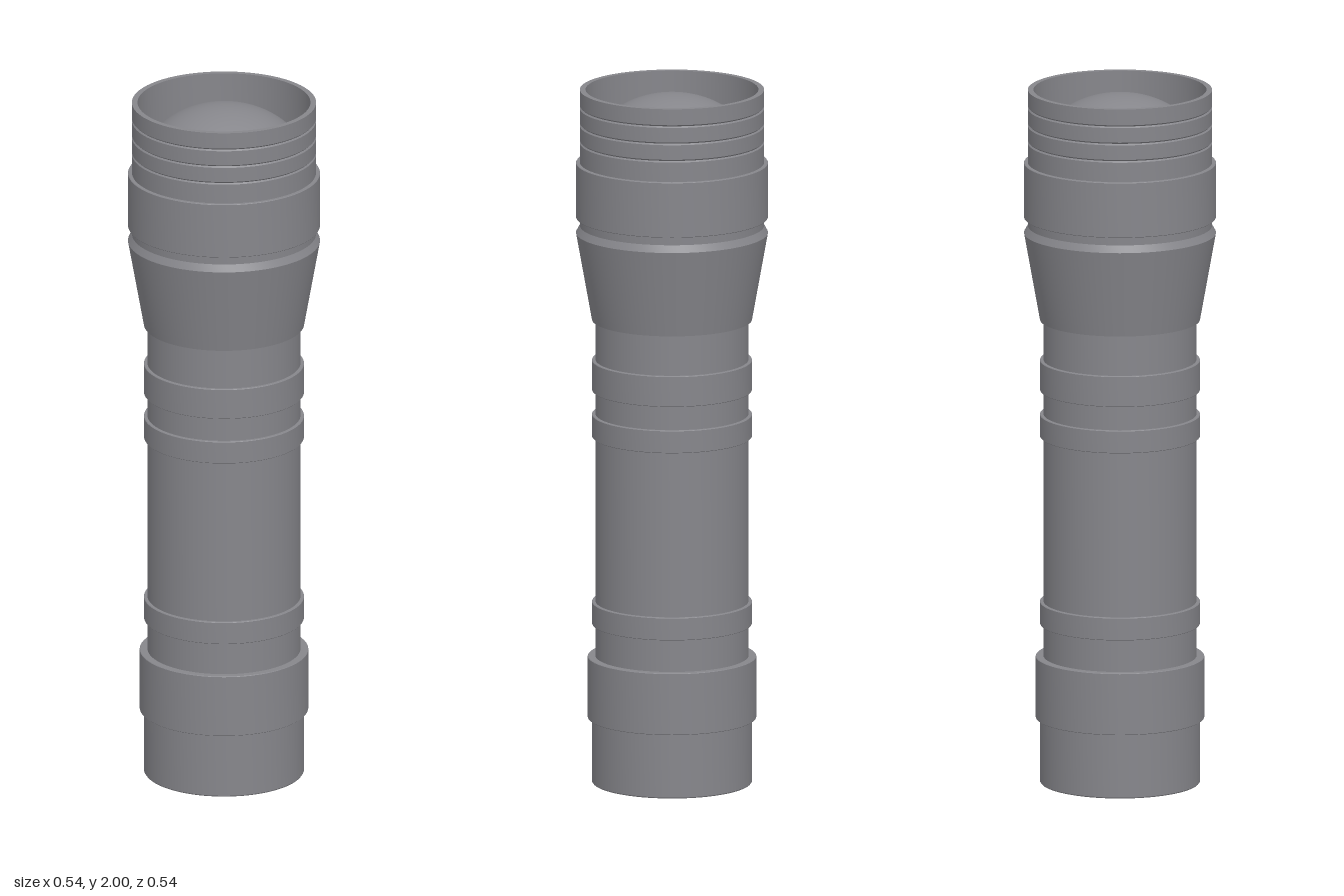
import * as THREE from 'three';
import { toCreasedNormals } from 'three/addons/utils/BufferGeometryUtils.js';

const SEGMENTS = 96;

export function createModel() {
  const torch = new THREE.Group();
  torch.name = 'flashlight';
  const material = new THREE.MeshStandardMaterial({ color: 0x86868b });

  function add(name, geometry) {
    const mesh = new THREE.Mesh(geometry, material);
    mesh.name = name;
    torch.add(mesh);
    return mesh;
  }

  // Revolve a [radius, height] profile, listed from bottom to top
  function turned(name, profile) {
    const points = profile.map(([r, y]) => new THREE.Vector2(r, y));
    return add(name, toCreasedNormals(new THREE.LatheGeometry(points, SEGMENTS), 0.35));
  }

  // Raised band with tiny bevels, closed down to the tube it sits on
  function band(name, radius, bottom, top, inner) {
    const b = 0.0015;
    return turned(name, [
      [inner, bottom], [radius - b, bottom], [radius, bottom + b],
      [radius, top - b], [radius - b, top], [inner, top],
    ]);
  }

  // Tail cap with flat base, and its wider grip
  turned('tailCap', [[0, 0], [0.224, 0], [0.226, 0.003], [0.226, 0.19]]);
  band('tailGrip', 0.238, 0.186, 0.364, 0.21);

  // Battery tube and its rings
  turned('batteryTube', [[0.216, 0.36], [0.216, 1.345]]);
  band('lowerRing', 0.226, 0.457, 0.522, 0.21);
  band('middleRing', 0.226, 0.998, 1.063, 0.21);
  band('upperRing', 0.226, 1.132, 1.22, 0.21);

  // Flared head, then a chamfer into the neck under the head band
  turned('headFlare', [
    [0.21, 1.336], [0.226, 1.336], [0.271, 1.587],
    [0.26, 1.607], [0.26, 1.635],
  ]);
  band('headBand', 0.271, 1.631, 1.79, 0.25);

  // Bezel with thin V grooves, open rim and inner wall
  const bezel = [[0.26, 1.785]];
  for (const y of [1.85, 1.9, 1.95]) {
    bezel.push([0.26, y - 0.004], [0.256, y], [0.26, y + 0.004]);
  }
  bezel.push([0.26, 2], [0.244, 2], [0.244, 1.78]);
  turned('bezel', bezel);

  // Domed lens recessed in the bezel
  const lens = add('lens', new THREE.SphereGeometry(
    0.245, SEGMENTS, 32, 0, Math.PI * 2, 0, Math.PI / 2));
  lens.scale.y = 0.8;
  lens.position.y = 1.79;

  return torch;
}
